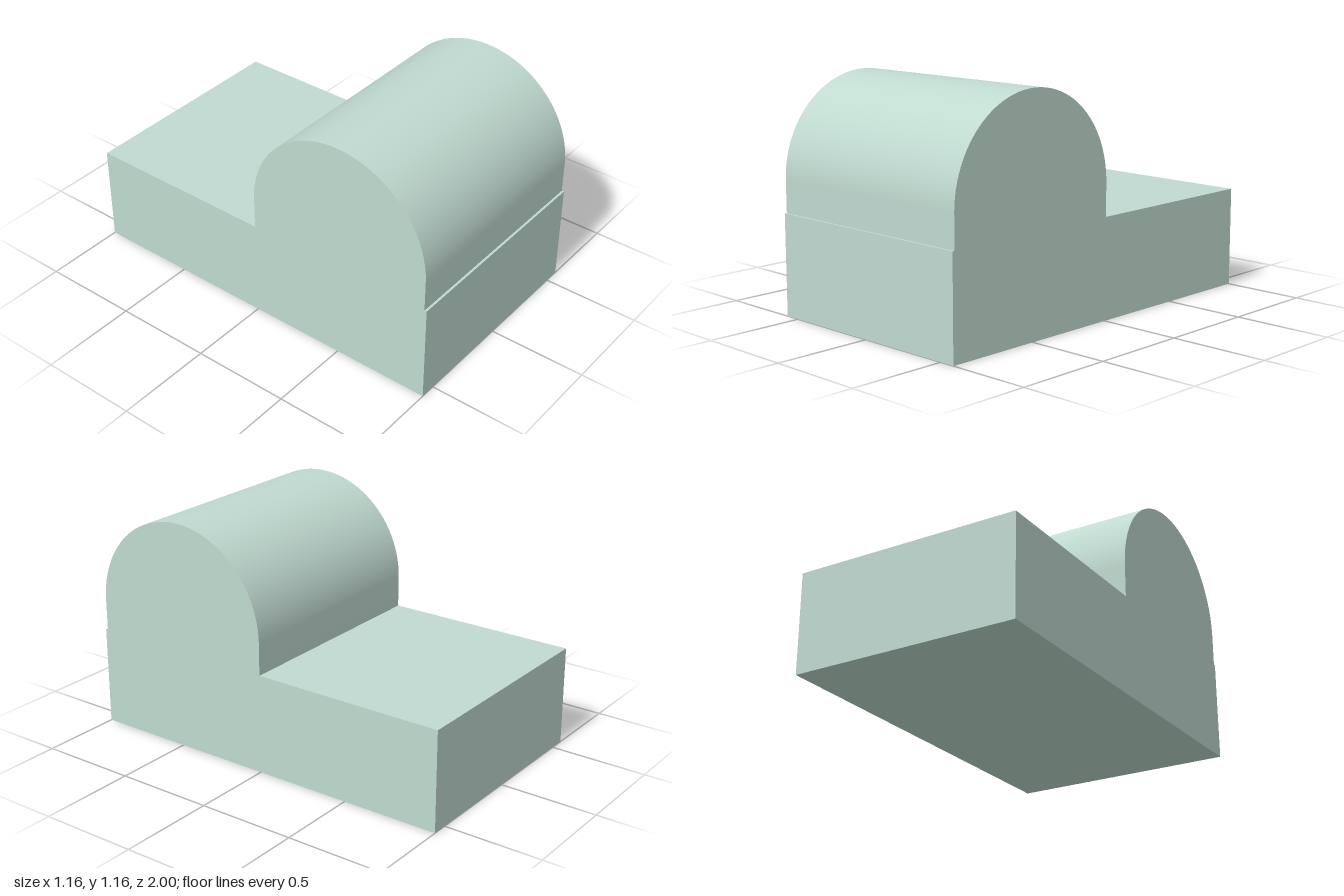
import * as THREE from 'three';
import { toCreasedNormals } from 'three/addons/utils/BufferGeometryUtils.js';

const WIDTH = 1.16;
const BASE_HEIGHT = 0.508;
const RADIUS = 0.495;
const TOP = 1.165;

export function createModel() {
  const group = new THREE.Group();
  group.name = 'archedBlock';
  const material = new THREE.MeshStandardMaterial({ color: 0xc0dad0 });

  // Flat rectangular base
  const base = new THREE.Mesh(new THREE.BoxGeometry(WIDTH, BASE_HEIGHT, 2), material);
  base.name = 'base';
  base.position.y = BASE_HEIGHT / 2;
  group.add(base);

  // Arch profile: short straight walls under a half circle
  const springLine = TOP - RADIUS;
  const profile = new THREE.Shape();
  profile.moveTo(-RADIUS, BASE_HEIGHT);
  profile.lineTo(RADIUS, BASE_HEIGHT);
  profile.lineTo(RADIUS, springLine);
  profile.absarc(0, springLine, RADIUS, 0, Math.PI, false);
  profile.closePath();

  // Arch runs across the full width, over the front half of the base
  const extruded = new THREE.ExtrudeGeometry(profile, {
    depth: WIDTH,
    bevelEnabled: false,
    curveSegments: 64,
  });
  extruded.translate(0, 0, -WIDTH / 2);
  extruded.rotateY(-Math.PI / 2);
  const arch = new THREE.Mesh(toCreasedNormals(extruded, 0.5), material);
  arch.name = 'arch';
  arch.position.z = RADIUS - 0.002;
  group.add(arch);

  return group;
}
